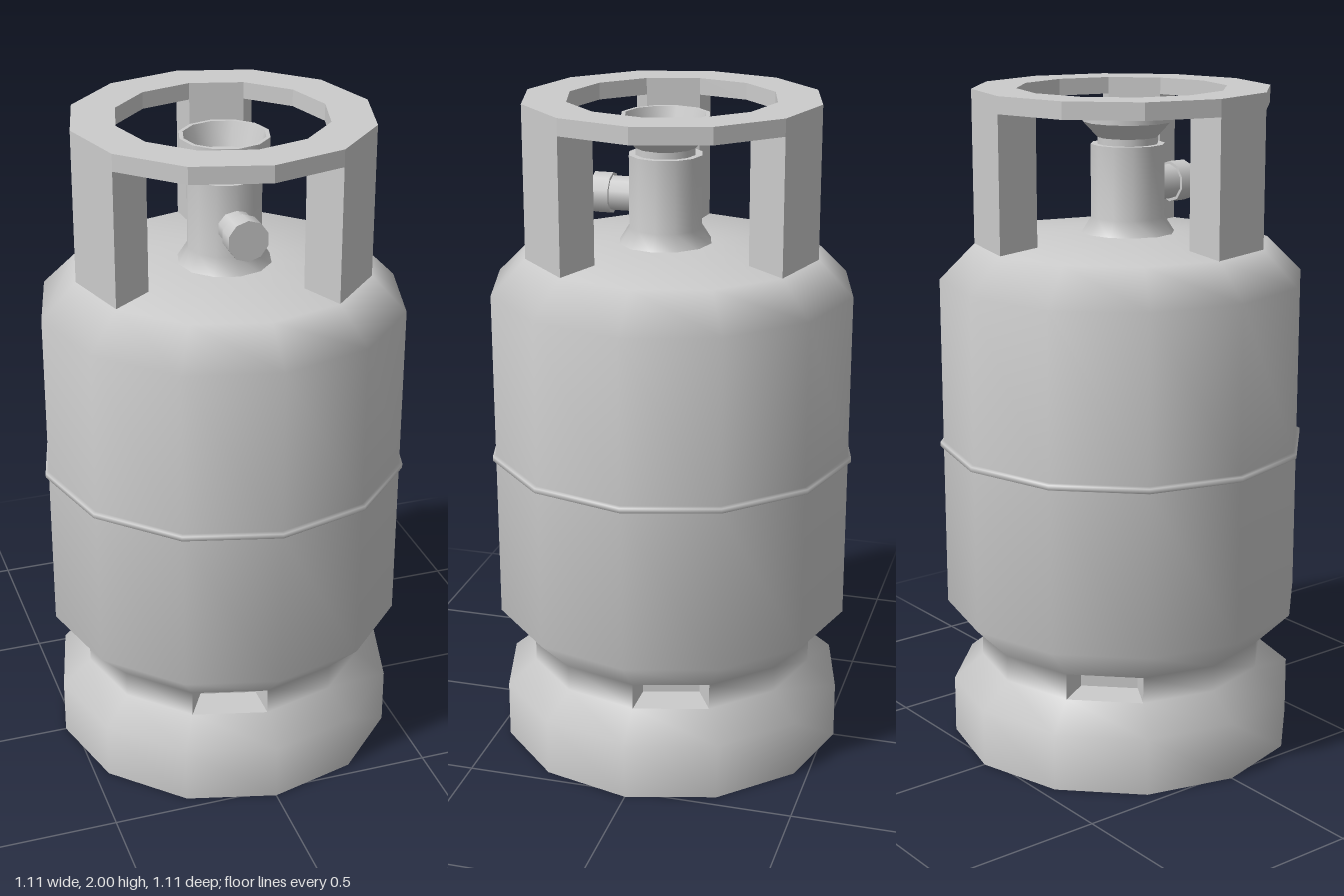
import * as THREE from 'three';

const SIDES = 12;
const STEP = (Math.PI * 2) / SIDES;
const material = new THREE.MeshStandardMaterial({ color: 0xcccccc });

function part(parent, name, geometry) {
  const mesh = new THREE.Mesh(geometry, material);
  mesh.name = name;
  parent.add(mesh);
  return mesh;
}

function lathe(profile) {
  return new THREE.LatheGeometry(profile.map(([r, y]) => new THREE.Vector2(r, y)), SIDES);
}

// Plan outline points, angle counted in facets from +z towards +x
const plan = (r, i) => new THREE.Vector2(r * Math.sin(i * STEP), -r * Math.cos(i * STEP));
const loop = (r) => Array.from({ length: SIDES }, (_, i) => plan(r, i));

// Raise a plan shape from y0 to y1
function raise(shape, y0, y1) {
  const g = new THREE.ExtrudeGeometry(shape, { depth: y1 - y0, bevelEnabled: false });
  return g.rotateX(-Math.PI / 2).translate(0, y0, 0);
}

// Inward-facing pocket behind one facet, open to the outside
function pocket(i, outer, inner, y0, y1) {
  const pos = [];
  for (const y of [y0, y1]) {
    for (const [r, k] of [[outer, i], [inner, i], [inner, i + 1], [outer, i + 1]]) {
      const p = plan(r, k);
      pos.push(p.x, y, -p.y);
    }
  }
  const quads = [[0, 1, 5, 4], [1, 2, 6, 5], [2, 3, 7, 6], [0, 3, 2, 1], [4, 5, 6, 7]];
  const g = new THREE.BufferGeometry();
  g.setAttribute('position', new THREE.Float32BufferAttribute(pos, 3));
  g.setIndex(quads.flatMap(([a, b, c, d]) => [a, b, c, a, c, d]));
  const flat = g.toNonIndexed();
  flat.computeVertexNormals();
  return flat;
}

export function createModel() {
  const model = new THREE.Group();
  model.name = 'gasCylinder';

  // Tank with flared foot, waist, weld band and shallow dome
  const profile = [
    [0.53, 0], [0.53, 0.175], [0.44, 0.25], [0.44, 0.33], [0.545, 0.435],
    [0.545, 0.928], [0.555, 0.932], [0.555, 0.946], [0.545, 0.95],
    [0.545, 1.445], [0.44, 1.55], [0.13, 1.575], [0, 1.575],
  ];
  const tank = lathe(profile);
  // Leave out the waist facets where the slots are
  const rows = profile.length - 1;
  const waistRow = 2;
  const kept = [];
  const index = Array.from(tank.index.array);
  for (let q = 0; q < index.length / 6; q++) {
    const facet = Math.floor(q / rows);
    if (q % rows === waistRow && facet % 4 === 3) continue;
    kept.push(...index.slice(q * 6, q * 6 + 6));
  }
  tank.setIndex(kept);
  part(model, 'tank', tank);
  part(model, 'tankBottom', new THREE.CircleGeometry(0.53, SIDES).rotateX(Math.PI / 2));
  for (const i of [3, 7, 11]) part(model, 'footSlot', pocket(i, 0.44, 0.33, 0.25, 0.33));

  // Guard: carrying ring on three posts
  const guard = new THREE.Group();
  guard.name = 'guard';
  model.add(guard);
  const ring = new THREE.Shape(loop(0.44));
  ring.holes.push(new THREE.Path(loop(0.31)));
  part(guard, 'carryRing', raise(ring, 1.95, 2));
  for (const i of [1, 5, 9]) {
    const foot = new THREE.Shape([plan(0.44, i), plan(0.44, i + 1), plan(0.31, i + 1), plan(0.31, i)]);
    part(guard, 'guardPost', raise(foot, 1.55, 1.95));
  }

  // Valve: separate sections keep the edges between them sharp
  const valve = new THREE.Group();
  valve.name = 'valve';
  valve.position.z = 0.02;
  model.add(valve);
  const sections = {
    valveNeck: [[0.145, 1.565], [0.11, 1.62], [0.11, 1.835]],
    valveShoulder: [[0.11, 1.835], [0.09, 1.835]],
    cupStem: [[0.09, 1.835], [0.09, 1.855]],
    cupFlare: [[0.09, 1.855], [0.132, 1.9]],
    cupWall: [[0.132, 1.9], [0.132, 1.95]],
    cupRim: [[0.132, 1.95], [0.12, 1.95]],
    cupInside: [[0.12, 1.95], [0.1, 1.88]],
    cupFloor: [[0.1, 1.88], [0, 1.88]],
  };
  for (const [name, points] of Object.entries(sections)) part(valve, name, lathe(points));

  // Outlet pointing forward
  for (const [name, r, z0, z1] of [['outletStem', 0.052, 0.06, 0.165], ['outletCap', 0.061, 0.16, 0.215]]) {
    const g = new THREE.CylinderGeometry(r, r, z1 - z0, 10).rotateX(Math.PI / 2);
    part(valve, name, g).position.set(0, 1.708, (z0 + z1) / 2);
  }
  return model;
}
